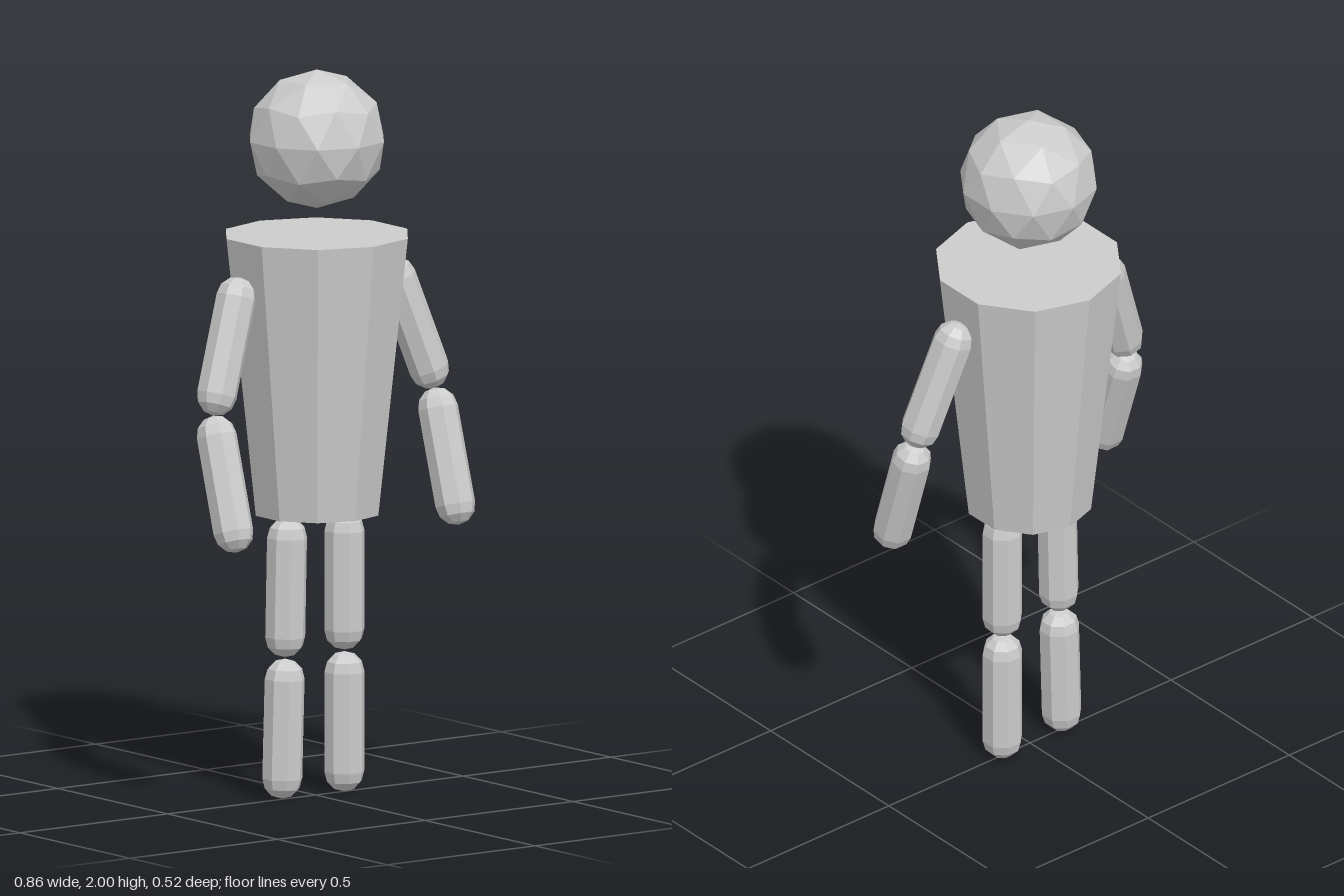
import * as THREE from 'three';

const material = new THREE.MeshStandardMaterial({ color: 0xcccccc, flatShading: true });
const LIMB_RADIUS = 0.056;
const UP = new THREE.Vector3(0, 1, 0);

// Capsule whose cap centres sit at points a and b
function limb(name, a, b) {
  const start = new THREE.Vector3(...a), end = new THREE.Vector3(...b);
  const axis = start.clone().sub(end);
  const geometry = new THREE.CapsuleGeometry(LIMB_RADIUS, axis.length(), 3, 8);
  geometry.rotateY(Math.PI / 8);
  const mesh = new THREE.Mesh(geometry, material);
  mesh.name = name;
  mesh.position.copy(start).add(end).multiplyScalar(0.5);
  mesh.quaternion.setFromUnitVectors(UP, axis.normalize());
  return mesh;
}

export function createModel() {
  const model = new THREE.Group();
  model.name = 'figure';

  // Faceted head, one vertex pointing straight up
  const headGeometry = new THREE.IcosahedronGeometry(0.191, 1);
  headGeometry.rotateX(-Math.atan((1 + Math.sqrt(5)) / 2));
  headGeometry.rotateY(Math.PI / 2);
  const head = new THREE.Mesh(headGeometry, material);
  head.name = 'head';
  head.position.set(0.005, 1.809, 0);

  // Ten-sided torso tapering to the hips
  const torso = new THREE.Mesh(new THREE.CylinderGeometry(0.259, 0.175, 0.768, 10), material);
  torso.name = 'torso';
  torso.position.set(0.005, 1.163, 0);
  model.add(head, torso);

  // Limbs: name, upper cap centre, lower cap centre
  const limbs = [
    ['leftUpperArm', [0.273, 1.4, 0], [0.363, 1.143, 0.03]],
    ['leftForearm', [0.378, 1.036, 0.05], [0.38, 0.779, 0.126]],
    ['rightUpperArm', [-0.268, 1.4, 0], [-0.356, 1.143, 0.03]],
    ['rightForearm', [-0.371, 1.036, 0.05], [-0.38, 0.783, 0.138]],
    ['leftThigh', [0.098, 0.72, 0], [0.098, 0.447, 0]],
    ['leftShin', [0.098, 0.331, 0], [0.098, 0.056, 0]],
    ['rightThigh', [-0.096, 0.72, 0], [-0.102, 0.447, 0]],
    ['rightShin', [-0.104, 0.331, 0], [-0.112, 0.058, 0]],
  ];
  for (const [name, a, b] of limbs) model.add(limb(name, a, b));

  return model;
}
